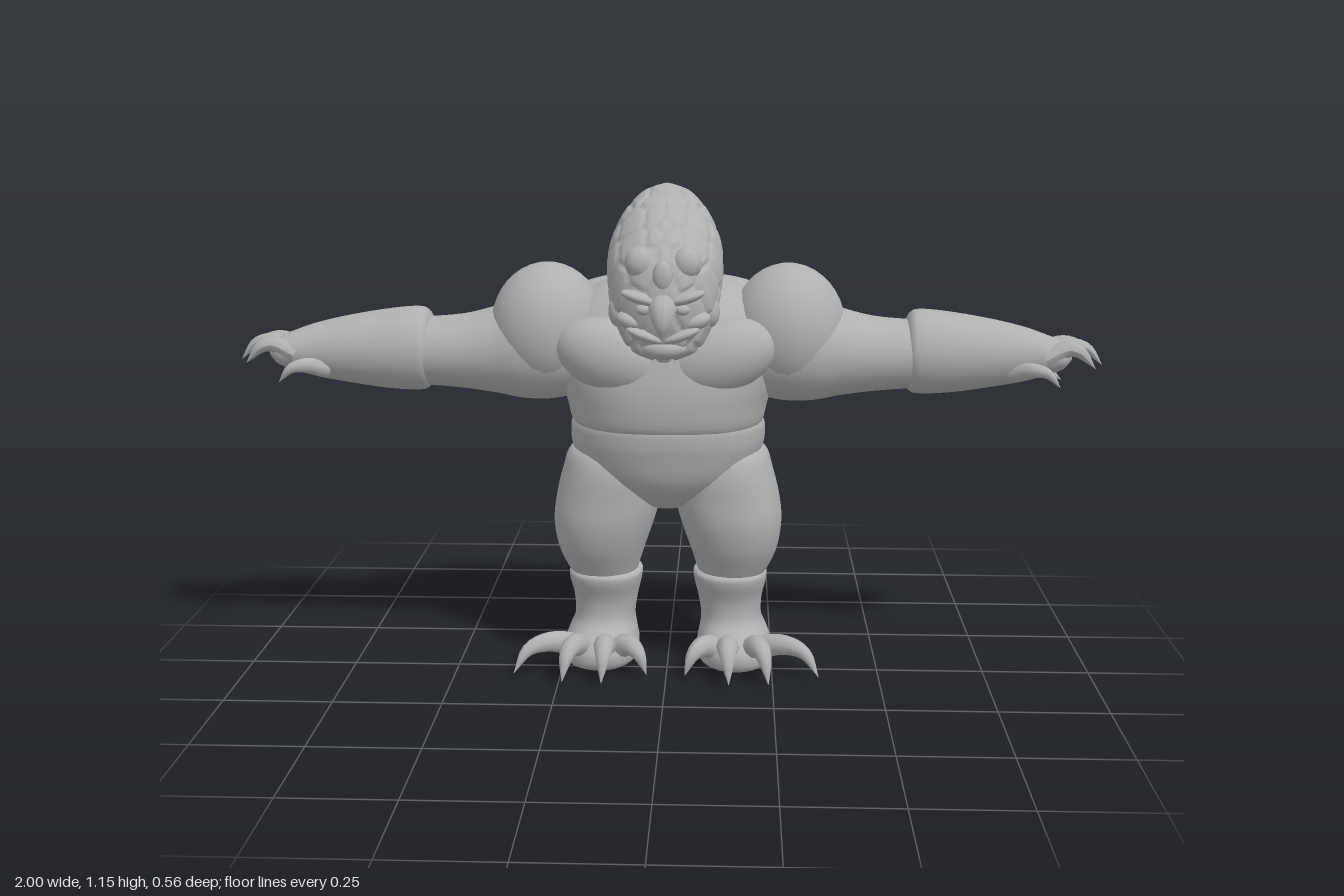
import * as THREE from 'three';

const skin = new THREE.MeshStandardMaterial({ color: 0xb0b0b0 });
skin.name = 'stone grey';

// Catmull-Rom through rows of numbers
function sampleRows(rows, s) {
  const n = rows.length - 1, i = Math.min(Math.floor(s * n), n - 1), t = s * n - i;
  const [a, b, c, d] = [rows[Math.max(i - 1, 0)], rows[i], rows[i + 1], rows[Math.min(i + 2, n)]];
  return b.map((_, k) => b[k] + 0.5 * t * (c[k] - a[k] +
    t * (2 * a[k] - 5 * b[k] + 4 * c[k] - d[k] + t * (3 * (b[k] - c[k]) + d[k] - a[k]))));
}

// Skin over rounded sections [t, a0, a1, b0, b1]; place maps (t, a, b) to (x, y, z)
function loft(rows, place, power = 2, steps = 36, sides = 36) {
  const pos = [], idx = [];
  const round = (v) => Math.sign(v) * Math.pow(Math.abs(v), 2 / power);
  for (let i = 0; i <= steps; i++) {
    const [t, a0, a1, b0, b1] = sampleRows(rows, i / steps);
    for (let j = 0; j < sides; j++) {
      const w = (j / sides) * Math.PI * 2;
      pos.push(...place(t, (a0 + a1) / 2 + round(Math.cos(w)) * (a1 - a0) / 2,
        (b0 + b1) / 2 + round(Math.sin(w)) * (b1 - b0) / 2));
    }
  }
  for (let i = 0; i < steps; i++) for (let j = 0; j < sides; j++) {
    const k = (j + 1) % sides, p = i * sides, q = p + sides;
    idx.push(p + j, p + k, q + k, p + j, q + k, q + j);
  }
  // end caps
  for (const end of [0, 1]) {
    const [t, a0, a1, b0, b1] = rows[end * (rows.length - 1)], c = pos.length / 3, p = end * steps * sides;
    pos.push(...place(t, (a0 + a1) / 2, (b0 + b1) / 2));
    for (let j = 0; j < sides; j++) {
      const k = (j + 1) % sides;
      idx.push(c, p + (end ? j : k), p + (end ? k : j));
    }
  }
  const g = new THREE.BufferGeometry();
  g.setAttribute('position', new THREE.Float32BufferAttribute(pos, 3));
  g.setIndex(idx);
  g.computeVertexNormals();
  return g;
}
const upright = (y, z, x) => [x, y, z];
const sideways = (x, y, z) => [x, y, z];
// torso-like rows [y, front, back, halfWidth]
const symmetric = (rows) => rows.map(([y, f, b, w]) => [y, b, f, -w, w]);

// Curved, tapering claw
function claw(points, r) {
  const curve = new THREE.CatmullRomCurve3(points.map((p) => new THREE.Vector3(...p)));
  const n = 14, sides = 10, g = new THREE.TubeGeometry(curve, n, r, sides);
  const p = g.attributes.position, v = new THREE.Vector3();
  for (let i = 0; i <= n; i++) {
    const c = curve.getPointAt(i / n), s = Math.max(0.02, 1 - Math.pow(i / n, 2.2));
    for (let j = 0; j <= sides; j++) {
      const k = i * (sides + 1) + j;
      v.fromBufferAttribute(p, k).sub(c).multiplyScalar(s).add(c);
      p.setXYZ(k, v.x, v.y, v.z);
    }
  }
  g.computeVertexNormals();
  return g;
}

function blob([x, y, z], [rx, ry, rz], tilt = 0) {
  return new THREE.SphereGeometry(1, 28, 20).scale(rx, ry, rz).rotateZ(tilt).translate(x, y, z);
}

function mirrored(g) {
  const m = g.clone().scale(-1, 1, 1), a = m.index.array;
  for (let i = 0; i < a.length; i += 3) [a[i], a[i + 1]] = [a[i + 1], a[i]];
  m.computeVertexNormals();
  return m;
}

// Head with grooves between irregular scales
function scaledHead() {
  const g = loft(symmetric([
    [0.775, 0.18, 0.14, 0.02], [0.8, 0.215, 0.10, 0.075], [0.85, 0.24, 0.05, 0.105],
    [0.9, 0.25, 0.02, 0.12], [0.95, 0.247, -0.03, 0.128], [1.0, 0.23, -0.067, 0.128],
    [1.05, 0.19, -0.08, 0.115], [1.1, 0.13, -0.078, 0.087], [1.135, 0.065, -0.055, 0.05],
    [1.15, 0.015, -0.015, 0.008],
  ]), upright, 2, 90, 110);
  const seeds = [], v = new THREE.Vector3(), d = new THREE.Vector3(), p = g.attributes.position;
  for (let i = 0; i < 64; i++) {
    const y = 1 - (2 * i + 1) / 64, w = i * 2.4 + Math.sin(i * 7.1) * 0.25, r = Math.sqrt(1 - y * y);
    seeds.push(new THREE.Vector3(r * Math.cos(w), y, r * Math.sin(w)));
  }
  const centre = new THREE.Vector3(0, 0.96, 0.09);
  for (let i = 0; i < p.count; i++) {
    v.fromBufferAttribute(p, i).sub(centre);
    d.set(Math.abs(v.x) / 0.125, v.y / 0.185, v.z / 0.165).normalize();
    let near = 9, next = 9;
    for (const s of seeds) {
      const q = s.distanceTo(d);
      if (q < near) { next = near; near = q; } else if (q < next) next = q;
    }
    const face = THREE.MathUtils.smoothstep(v.z, -0.12, -0.03);
    const groove = 1 - THREE.MathUtils.smoothstep(next - near, 0.0, 0.09);
    v.multiplyScalar(1 - 0.04 * groove * face).add(centre);
    p.setXYZ(i, v.x, v.y, v.z);
  }
  g.computeVertexNormals();
  return g;
}

export function createModel() {
  const model = new THREE.Group();
  const add = (name, g) => {
    const m = new THREE.Mesh(g, skin);
    m.name = name;
    model.add(m);
  };
  const pair = (name, g) => { add('left ' + name, g); add('right ' + name, mirrored(g)); };

  // Trunk
  add('chest', loft(symmetric([
    [0.575, 0.09, -0.2, 0.19], [0.6, 0.12, -0.25, 0.222], [0.65, 0.13, -0.256, 0.235],
    [0.7, 0.13, -0.265, 0.255], [0.75, 0.122, -0.272, 0.272], [0.8, 0.11, -0.27, 0.275],
    [0.85, 0.085, -0.25, 0.25], [0.9, 0.045, -0.2, 0.19], [0.93, 0, -0.15, 0.12], [0.945, -0.04, -0.1, 0.04],
  ]), upright, 2.3));
  add('pelvis', loft(symmetric([
    [0.385, -0.03, -0.12, 0.02], [0.402, 0.02, -0.2, 0.075], [0.44, 0.068, -0.248, 0.145],
    [0.48, 0.095, -0.262, 0.195], [0.53, 0.11, -0.262, 0.222], [0.57, 0.118, -0.256, 0.228],
    [0.605, 0.115, -0.24, 0.218], [0.62, 0.08, -0.2, 0.15],
  ]), upright, 2.2));
  pair('chest muscle', blob([0.115, 0.765, 0.06], [0.14, 0.085, 0.075], 0.3));
  pair('upper back', blob([0.13, 0.85, -0.14], [0.15, 0.075, 0.1], -0.15));

  // Head and face
  add('head', scaledHead());
  add('neck', blob([0, 0.9, 0.02], [0.12, 0.1, 0.1]));
  add('beak', claw([[0, 0.91, 0.22], [0, 0.9, 0.25], [0, 0.875, 0.268], [0, 0.838, 0.27]], 0.032));
  add('chin', blob([0, 0.81, 0.2], [0.05, 0.025, 0.035]));
  add('forehead plate', blob([0, 0.97, 0.235], [0.022, 0.035, 0.018]));
  pair('forehead lump', blob([0.05, 0.995, 0.205], [0.033, 0.036, 0.03], -0.2));
  pair('brow', blob([0.05, 0.925, 0.235], [0.042, 0.013, 0.025], 0.3));
  pair('eye', blob([0.042, 0.9, 0.24], [0.016, 0.012, 0.013]));
  pair('cheek', blob([0.068, 0.87, 0.205], [0.036, 0.02, 0.03], 0.3));
  pair('lip', blob([0.04, 0.842, 0.226], [0.042, 0.012, 0.022], 0.35));
  pair('jaw plate', blob([0.1, 0.885, 0.16], [0.022, 0.035, 0.028]));

  // Arms
  pair('shoulder', blob([0.277, 0.815, -0.043], [0.133, 0.152, 0.132]));
  pair('upper arm', loft([
    [0.14, 0.68, 0.88, -0.17, 0.05], [0.25, 0.65, 0.89, -0.178, 0.07], [0.33, 0.648, 0.89, -0.17, 0.07],
    [0.4, 0.66, 0.863, -0.16, 0.055], [0.48, 0.67, 0.843, -0.15, 0.04], [0.58, 0.678, 0.835, -0.138, 0.028],
  ], sideways));
  pair('forearm', loft([
    [0.545, 0.7, 0.82, -0.12, 0.01], [0.56, 0.67, 0.853, -0.147, 0.032], [0.59, 0.664, 0.86, -0.152, 0.037],
    [0.66, 0.668, 0.853, -0.148, 0.035], [0.75, 0.682, 0.838, -0.13, 0.027], [0.82, 0.696, 0.822, -0.11, 0.02],
    [0.87, 0.712, 0.805, -0.098, 0.018], [0.905, 0.725, 0.79, -0.09, 0.012], [0.925, 0.745, 0.77, -0.065, -0.015],
  ], sideways));
  [[-0.08, -0.088, 0.985], [-0.04, -0.045, 1.0], [0, 0.006, 0.975]].forEach(([z0, z1, x], i) =>
    pair('finger ' + (i + 1), claw([[0.86, 0.755, z0], [0.91, 0.778, z0], [x - 0.04, 0.775, z1], [x, 0.735, z1]], 0.022)));
  pair('thumb', claw([[0.79, 0.72, 0], [0.83, 0.735, 0.035], [0.86, 0.73, 0.048], [0.89, 0.698, 0.045]], 0.02));
  pair('palm claw', claw([[0.83, 0.72, -0.05], [0.87, 0.722, -0.055], [0.91, 0.698, -0.055]], 0.017));

  // Legs
  pair('thigh', loft([
    [0.2, -0.15, 0, 0.08, 0.215], [0.25, -0.165, 0.027, 0.066, 0.245], [0.3, -0.18, 0.052, 0.05, 0.263],
    [0.36, -0.19, 0.068, 0.03, 0.27], [0.42, -0.196, 0.07, 0.015, 0.263], [0.48, -0.2, 0.07, 0.015, 0.248],
    [0.525, -0.195, 0.055, 0.035, 0.232], [0.55, -0.15, 0.02, 0.08, 0.19],
  ], upright, 2.2));
  pair('shin and foot', loft([
    [0, -0.17, 0.03, 0.095, 0.23], [0.015, -0.19, 0.055, 0.075, 0.25], [0.045, -0.196, 0.06, 0.07, 0.25],
    [0.075, -0.192, 0.04, 0.075, 0.24], [0.11, -0.178, 0.005, 0.08, 0.225], [0.16, -0.172, 0.003, 0.073, 0.226],
    [0.21, -0.17, 0.022, 0.062, 0.236], [0.23, -0.165, 0.018, 0.065, 0.232], [0.24, -0.13, -0.02, 0.1, 0.2],
  ], upright, 2.3));
  [
    [[0.13, 0.04, 0], [0.09, 0.07, 0.04], [0.065, 0.06, 0.07], [0.045, 0.012, 0.085]],
    [[0.145, 0.045, 0], [0.145, 0.075, 0.06], [0.145, 0.065, 0.105], [0.148, 0.01, 0.138]],
    [[0.195, 0.045, 0], [0.215, 0.075, 0.055], [0.23, 0.065, 0.1], [0.24, 0.01, 0.132]],
    [[0.2, 0.04, -0.02], [0.27, 0.068, 0.02], [0.325, 0.06, 0.055], [0.358, 0.01, 0.08]],
    [[0.165, 0.04, -0.16], [0.172, 0.058, -0.195], [0.178, 0.05, -0.22], [0.18, 0.01, -0.242]],
  ].forEach((path, i) => pair(i < 4 ? 'toe ' + (i + 1) : 'heel claw', claw(path, i < 4 ? 0.029 : 0.024)));

  return model;
}
